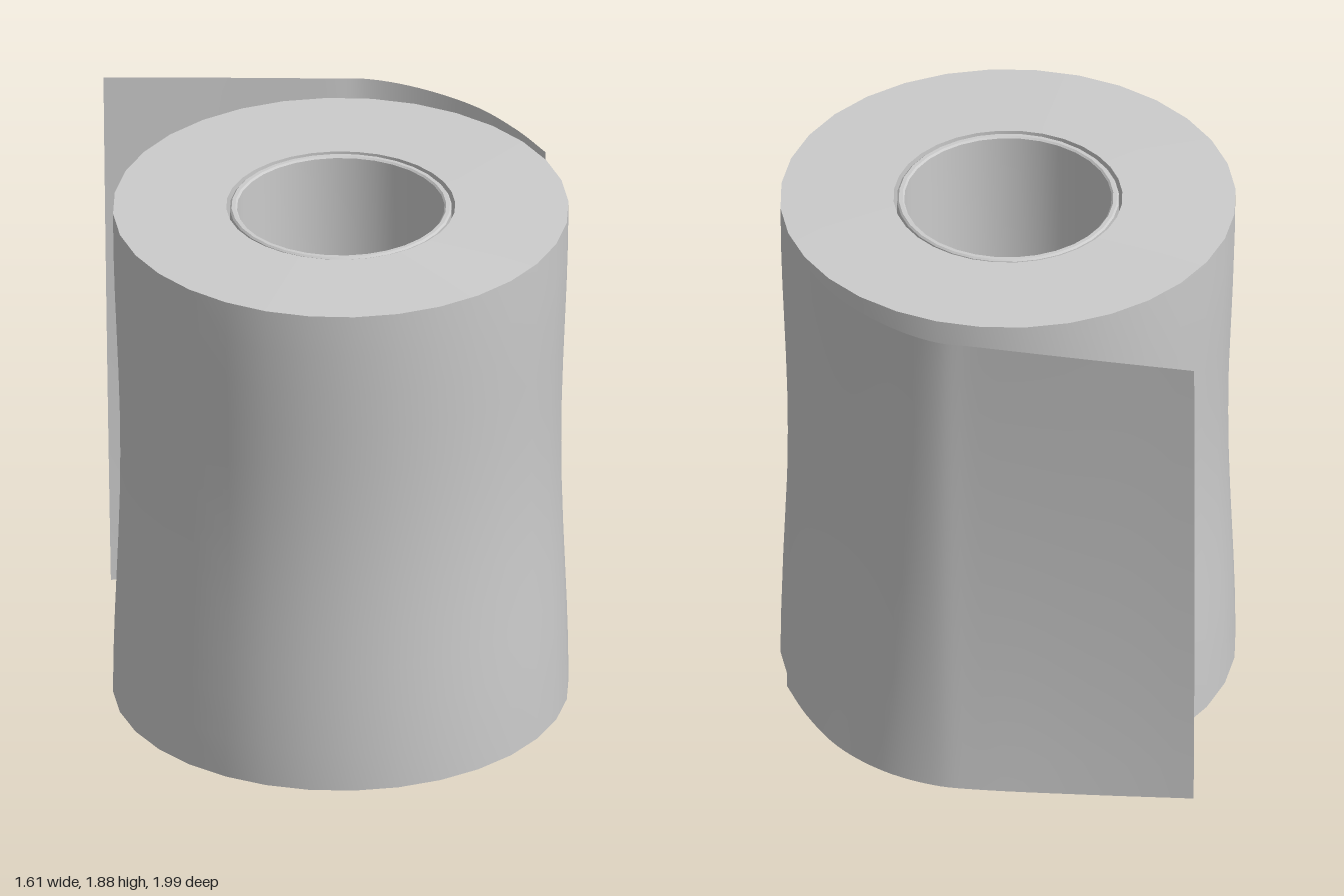
import * as THREE from 'three';
import { toCreasedNormals } from 'three/addons/utils/BufferGeometryUtils.js';

const CX = -0.03, CZ = 0.215, H = 1.88;
const SEGMENTS = 32;

const material = () => new THREE.MeshStandardMaterial({ color: 0xcccccc, side: THREE.DoubleSide });

// Paper body: hollow cylinder with a slight waist and a gently lifted rim
function makeRoll() {
  const profile = [new THREE.Vector2(0.392, 0.006)];
  const steps = 12;
  for (let i = 0; i <= steps; i++) {
    const t = i / steps;
    profile.push(new THREE.Vector2(0.78 - 0.025 * Math.sin(Math.PI * t) ** 2, 0.006 + t * (H - 0.012)));
  }
  profile.push(new THREE.Vector2(0.392, H - 0.006), new THREE.Vector2(0.392, 0.006));
  const geometry = new THREE.LatheGeometry(profile, SEGMENTS);
  const pos = geometry.attributes.position;
  for (let i = 0; i < pos.count; i++) {
    const x = pos.getX(i), y = pos.getY(i), z = pos.getZ(i);
    if (Math.hypot(x, z) < 0.5) continue;
    // the rim curls inwards most at the left front
    const lift = 0.008 * (1 + Math.cos(Math.atan2(x, z) + 0.7));
    pos.setY(i, y + lift * (1 - 2 * y / H));
  }
  return new THREE.Mesh(toCreasedNormals(geometry, 0.7), material());
}

// Cardboard tube, separated from the paper by a narrow groove
function makeCore() {
  const outline = [
    [0.355, 0.012], [0.361, 0.006], [0.374, 0.006], [0.38, 0.012],
    [0.38, H - 0.012], [0.374, H - 0.006], [0.361, H - 0.006], [0.355, H - 0.012], [0.355, 0.012],
  ].map(([r, y]) => new THREE.Vector2(r, y));
  return new THREE.Mesh(toCreasedNormals(new THREE.LatheGeometry(outline, SEGMENTS), 0.6), material());
}

// Loose sheet: lofted through three plan curves, at the bottom, middle and top
function makeSheet() {
  const plan = (points) => new THREE.CatmullRomCurve3(points.map(([x, z]) => new THREE.Vector3(x, 0, z)), false, 'centripetal');
  const bottom = plan([[0.715, 0.49], [0.77, 0.31], [0.80, 0.09], [0.765, -0.12], [0.68, -0.29], [0.58, -0.40], [0.31, -0.65], [0.035, -0.895]]);
  const middle = plan([[0.705, 0.49], [0.745, 0.31], [0.762, 0.09], [0.745, -0.12], [0.68, -0.28], [0.585, -0.39], [0.33, -0.67], [0.07, -0.945]]);
  const top = plan([[0.715, 0.49], [0.77, 0.31], [0.803, 0.09], [0.77, -0.16], [0.705, -0.32], [0.62, -0.42], [0.37, -0.71], [0.115, -1.0]]);
  const along = 36, up = 14;
  const geometry = new THREE.PlaneGeometry(1, 1, along, up);
  const pos = geometry.attributes.position;
  for (let i = 0; i < pos.count; i++) {
    const u = pos.getX(i) + 0.5, t = pos.getY(i) + 0.5;
    const p = bottom.getPoint(u).multiplyScalar((1 - t) * (1 - 2 * t))
      .addScaledVector(middle.getPoint(u), 4 * t * (1 - t))
      .addScaledVector(top.getPoint(u), t * (2 * t - 1));
    pos.setXYZ(i, p.x, t * H, p.z);
  }
  geometry.computeVertexNormals();
  return new THREE.Mesh(geometry, material());
}

export function createModel() {
  const model = new THREE.Group();
  model.name = 'paperRoll';
  const parts = { rolledPaper: makeRoll(), cardboardCore: makeCore(), looseSheet: makeSheet() };
  for (const [name, mesh] of Object.entries(parts)) {
    mesh.name = name;
    if (name !== 'looseSheet') mesh.position.set(CX, 0, CZ);
    model.add(mesh);
  }
  return model;
}
